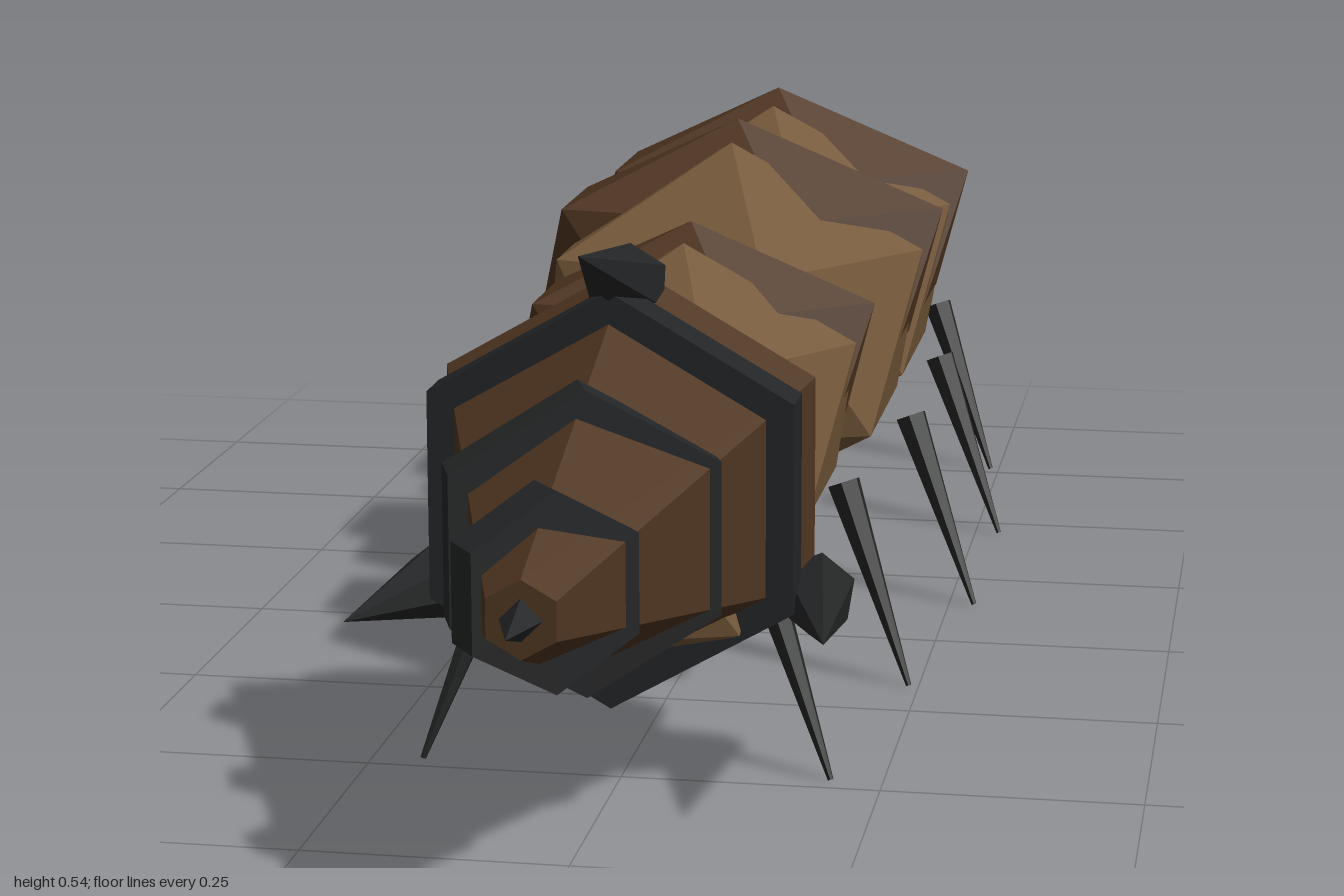
import * as THREE from 'three';

const mat = (name, color) => {
  const m = new THREE.MeshStandardMaterial({ color, flatShading: true });
  m.name = name;
  return m;
};

export function createModel() {
  const flesh = mat('light brown', 0x755839);
  const hide = mat('dark brown', 0x4f3520);
  const horn = mat('charcoal', 0x242526);
  const model = new THREE.Group();
  model.name = 'burrowingWorm';

  const add = (parent, name, geo, material, x = 0, y = 0, z = 0) => {
    const mesh = new THREE.Mesh(geo, material);
    mesh.name = name;
    mesh.position.set(x, y, z);
    parent.add(mesh);
    return mesh;
  };

  // Icosahedron standing on a vertex, stretched on each axis
  const polarIco = (rx, ry, rz) => new THREE.IcosahedronGeometry(1)
    .rotateZ(-Math.atan2(0.5257, 0.8507)).scale(rx, ry, rz);

  // Tapered spike from a base point to a tip point
  const spike = (parent, name, base, tip, radius, sides, tipRadius = 0) => {
    const a = new THREE.Vector3(...base), b = new THREE.Vector3(...tip);
    const dir = b.clone().sub(a);
    const mid = a.clone().add(b).multiplyScalar(0.5);
    const mesh = add(parent, name,
      new THREE.CylinderGeometry(tipRadius, radius, dir.length(), sides), horn, mid.x, mid.y, mid.z);
    mesh.quaternion.setFromUnitVectors(new THREE.Vector3(0, 1, 0), dir.normalize());
  };

  // Body segments: z, body centre y and radii, shell centre y and radii, foot x, leg top x
  const segments = [
    { z: 0.453, y: 0.228, body: [0.17, 0.145, 0.19], sy: 0.272, shell: [0.18, 0.12, 0.10], foot: 0.2, hip: 0.125 },
    { z: 0.142, y: 0.277, body: [0.2, 0.178, 0.213], sy: 0.325, shell: [0.215, 0.145, 0.12], foot: 0.24, hip: 0.165 },
    { z: -0.169, y: 0.305, body: [0.238, 0.205, 0.235], sy: 0.358, shell: [0.257, 0.172, 0.14], foot: 0.278, hip: 0.2 },
    { z: -0.483, y: 0.302, body: [0.236, 0.202, 0.235], sy: 0.35, shell: [0.255, 0.17, 0.14], foot: 0.278, hip: 0.2 },
    { z: -0.803, y: 0.258, body: [0.2, 0.175, 0.231], sy: 0.305, shell: [0.213, 0.145, 0.12], foot: 0.24, hip: 0.165 },
  ];
  segments.forEach((s, i) => {
    const g = new THREE.Group();
    g.name = 'segment' + (i + 1);
    model.add(g);
    const step = 0.453 - 0.311 * i;
    add(g, 'bodySegment', polarIco(...s.body), flesh, 0, s.y, s.z);
    add(g, 'backShell', polarIco(...s.shell), hide, 0, s.sy, step - 0.045);
    for (const side of [-1, 1]) {
      spike(g, side > 0 ? 'leftLeg' : 'rightLeg',
        [side * s.hip, 0.205, step - 0.017], [side * s.foot, 0.002, step + 0.026], 0.018, 6, 0.003);
    }
  });

  // Drill head: six-sided cone along +z
  const head = new THREE.Group();
  head.name = 'head';
  model.add(head);
  const cy = 0.285;
  const hexDisc = (r0, r1, depth) => new THREE.CylinderGeometry(r0, r1, depth, 6).rotateX(Math.PI / 2);
  add(head, 'drillCone', hexDisc(0.035, 0.206, 0.495), hide, 0, cy, 0.6925);
  add(head, 'collar', hexDisc(0.2, 0.2, 0.05), horn, 0, cy, 0.525);
  spike(head, 'drillTip', [0, cy, 0.93], [0, cy, 1], 0.022, 4);

  // Slanted cutting ridges, bedded into the cone on one side
  for (const [r, z, tilt] of [[0.142, 0.68, 0.35], [0.09, 0.84, 0.62]]) {
    add(head, 'cuttingRidge', hexDisc(r, r, 0.045), horn, 0, cy, z).rotation.y = tilt;
  }

  // Horns on the collar
  spike(head, 'topHorn', [0, 0.472, 0.45], [0, 0.545, 0.69], 0.04, 6);
  for (const side of [-1, 1]) {
    spike(head, side > 0 ? 'leftHorn' : 'rightHorn',
      [side * 0.18, 0.178, 0.45], [side * 0.22, 0.2, 0.69], 0.04, 6);
  }
  return model;
}
